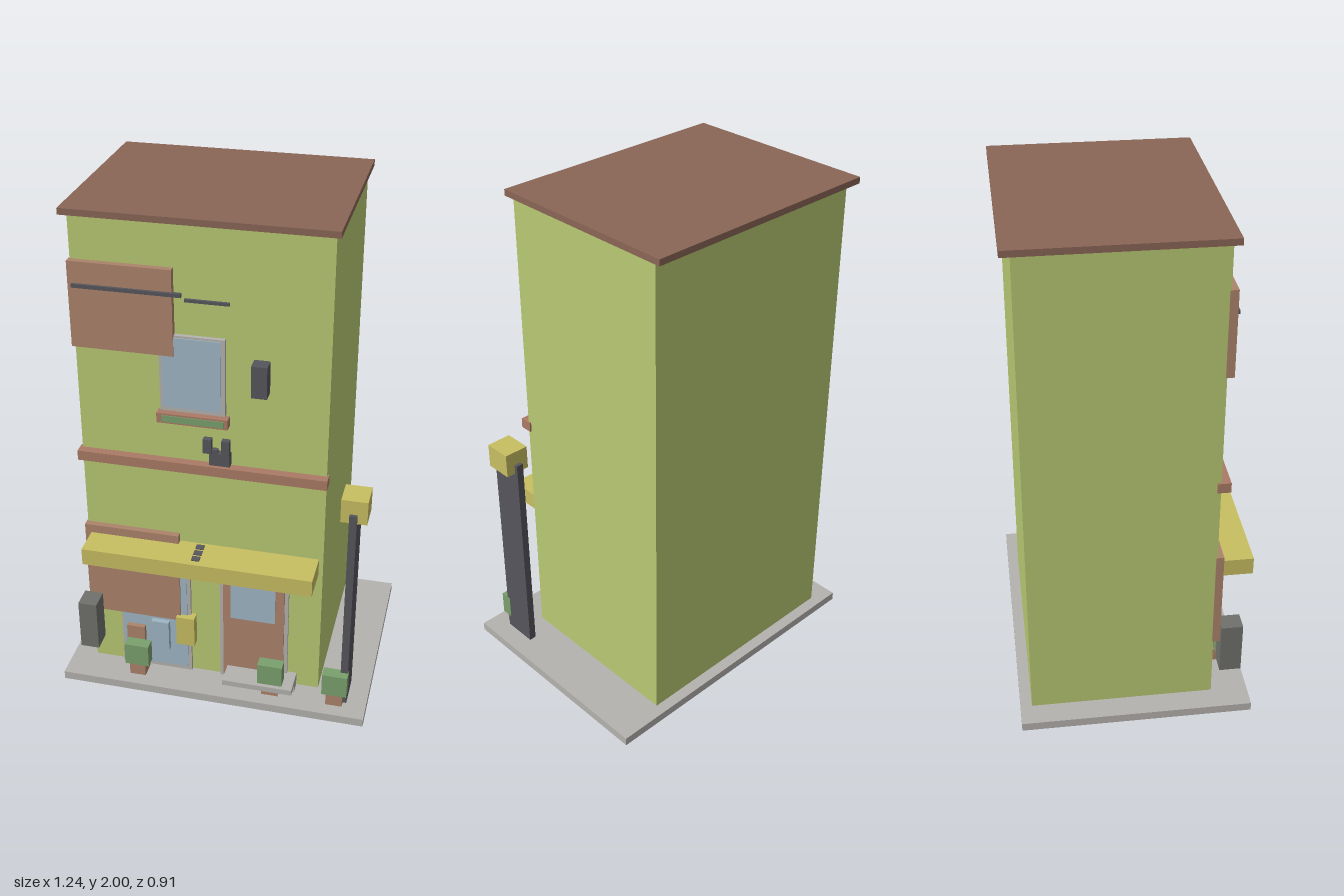
import * as THREE from 'three';

const mat = (name, color) => {
  const m = new THREE.MeshStandardMaterial({ color });
  m.name = name;
  return m;
};

export function createModel() {
  const group = new THREE.Group();
  const wall = mat('lime wall', 0xb9c973);
  const roof = mat('dark roof brown', 0x8a6656);
  const panel = mat('panel brown', 0xac846b);
  const trim = mat('reddish trim', 0xab7b66);
  const yellow = mat('mustard', 0xc8be62);
  const glass = mat('pale glass', 0x9fb6c4);
  const plant = mat('leaf green', 0x7ba06d);
  const stone = mat('stone grey', 0xb5b2af);
  const dark = mat('dark metal', 0x55555c);
  const boxGrey = mat('cabinet grey', 0x70706c);

  // Box given by its min and max on each axis
  const box = (name, material, [x0, x1], [y0, y1], [z0, z1]) => {
    const mesh = new THREE.Mesh(new THREE.BoxGeometry(x1 - x0, y1 - y0, z1 - z0), material);
    mesh.position.set((x0 + x1) / 2, (y0 + y1) / 2, (z0 + z1) / 2);
    mesh.name = name;
    group.add(mesh);
    return mesh;
  };

  // Main building
  box('base', stone, [-0.62, 0.62], [0, 0.035], [-0.455, 0.455]);
  box('walls', wall, [-0.525, 0.415], [0.035, 1.977], [-0.41, 0.31]);
  box('roof', roof, [-0.55, 0.433], [1.976, 2], [-0.447, 0.335]);
  box('floorBand', trim, [-0.535, 0.422], [1.005, 1.045], [0.295, 0.345]);

  // Facade panels and rods
  box('upperPanel', panel, [-0.53, -0.15], [1.48, 1.81], [0.305, 0.335]);
  box('lowerPanel', panel, [-0.53, -0.15], [0.295, 0.705], [0.305, 0.335]);
  box('longRod', dark, [-0.515, -0.115], [1.714, 1.728], [0.33, 0.345]);
  box('shortRod', dark, [-0.11, 0.052], [1.689, 1.7], [0.305, 0.321]);

  // Upper window with sill
  box('upperWindowFrame', stone, [-0.207, 0.037], [1.255, 1.56], [0.3, 0.327]);
  box('upperWindowGlass', glass, [-0.195, 0.022], [1.272, 1.552], [0.325, 0.331]);
  box('windowSill', trim, [-0.218, 0.05], [1.21, 1.25], [0.305, 0.345]);
  box('sillPlanting', plant, [-0.198, 0.036], [1.217, 1.243], [0.341, 0.348]);

  // Wall fittings
  box('wallBox', dark, [0.14, 0.198], [1.365, 1.49], [0.305, 0.365]);
  box('bracketBody', dark, [-0.018, 0.06], [1.06, 1.112], [0.33, 0.355]);
  box('bracketLeft', dark, [-0.04, -0.008], [1.112, 1.17], [0.338, 0.362]);
  box('bracketRight', dark, [0.03, 0.06], [1.112, 1.17], [0.338, 0.362]);
  box('bracketStub', dark, [-0.008, 0.014], [1.112, 1.126], [0.335, 0.355]);

  // Awning with small sloping plates above
  box('awning', yellow, [-0.505, 0.398], [0.6, 0.67], [0.305, 0.455]);
  for (const i of [-1, 0, 1]) {
    const plate = box('awningPlate', dark, [-0.072, -0.04], [0.683 - i * 0.004, 0.687 - i * 0.004],
      [0.383 + i * 0.033, 0.407 + i * 0.033]);
    plate.rotation.x = 0.12;
  }

  // Shop window and displays
  box('shopWindowFrame', stone, [-0.402, -0.11], [0.035, 0.515], [0.3, 0.324]);
  box('shopWindowGlass', glass, [-0.393, -0.124], [0.055, 0.503], [0.322, 0.328]);
  box('brownDisplay', panel, [-0.375, -0.3], [0.12, 0.24], [0.32, 0.347]);
  box('glassDisplay', glass, [-0.27, -0.197], [0.143, 0.281], [0.32, 0.35]);
  box('wallLantern', yellow, [-0.165, -0.09], [0.185, 0.32], [0.305, 0.35]);

  // Door and step
  box('doorFrame', stone, [0.01, 0.287], [0.035, 0.565], [0.3, 0.322]);
  box('door', panel, [0.025, 0.272], [0.05, 0.553], [0.305, 0.328]);
  box('doorGlass', glass, [0.057, 0.236], [0.345, 0.536], [0.326, 0.333]);
  box('doorStep', stone, [0.042, 0.325], [0.07, 0.094], [0.305, 0.422]);
  box('lowerStep', stone, [0.042, 0.325], [0.035, 0.07], [0.305, 0.36]);

  // Cabinet on the right corner
  box('cornerCabinet', boxGrey, [-0.55, -0.475], [0.16, 0.375], [0.335, 0.42]);

  // Potted plants
  for (const x of [-0.32, 0.232, 0.493]) {
    box('pot', panel, [x - 0.033, x + 0.033], [0.035, 0.09], [0.335, 0.4]);
    box('bush', plant, [x - 0.05, x + 0.05], [0.09, 0.187], [0.357, 0.406]);
  }

  // Street lamp
  box('lampPost', dark, [0.512, 0.541], [0.035, 0.927], [0.235, 0.374]);
  box('lampHead', yellow, [0.478, 0.578], [0.888, 0.985], [0.25, 0.36]);

  return group;
}
